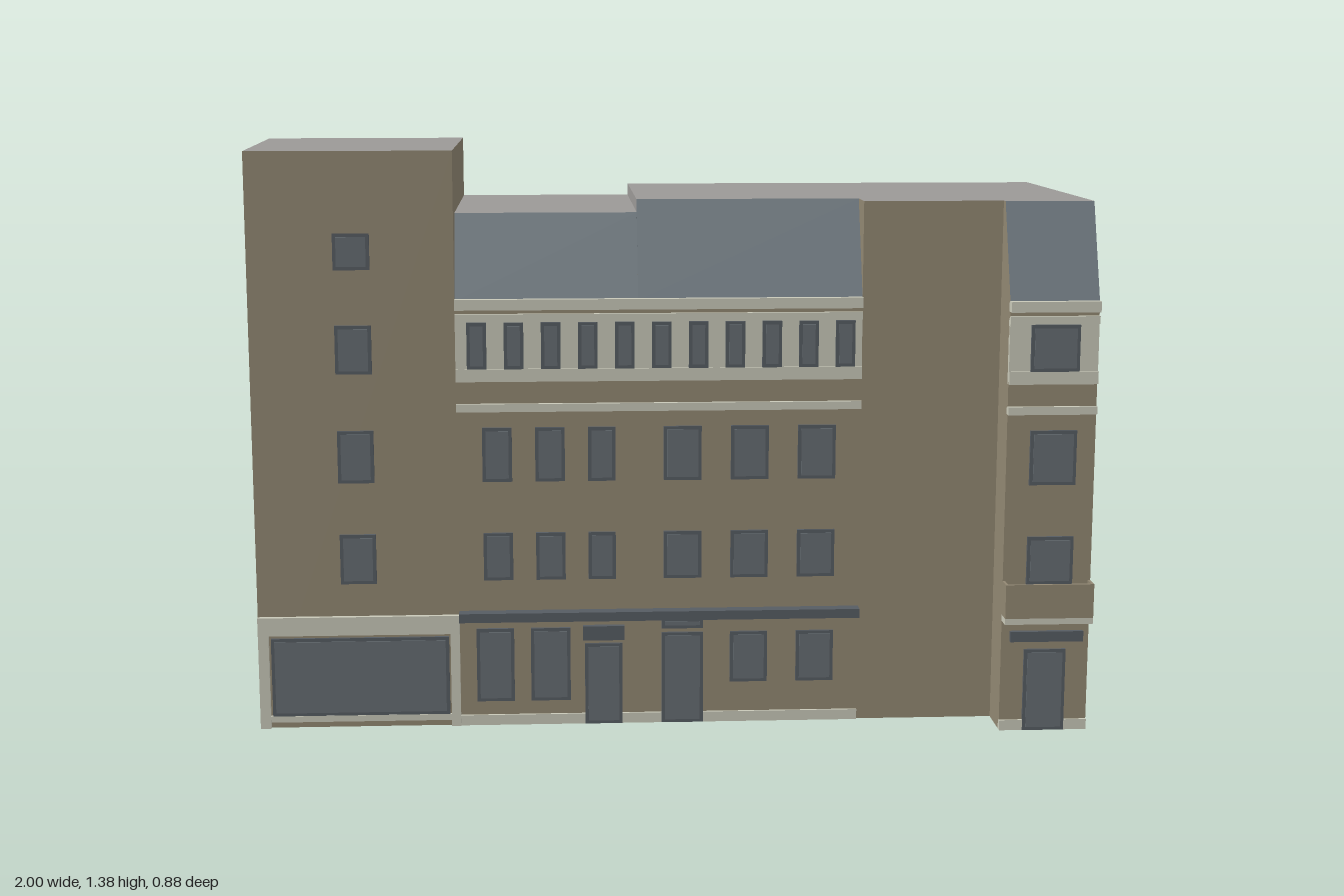
import * as THREE from 'three';

const mat = (name, color, side = THREE.FrontSide) => {
  const m = new THREE.MeshStandardMaterial({ color, side });
  m.name = name;
  return m;
};

export function createModel() {
  const group = new THREE.Group();
  const brick = mat('brick', 0x918772, THREE.DoubleSide);
  const slate = mat('slate', 0x717b82, THREE.DoubleSide);
  const roof = mat('roofGrey', 0x9b9997, THREE.DoubleSide);
  const trim = mat('creamTrim', 0xc8c8b8);
  const glass = mat('glass', 0x656c71);
  const frame = mat('darkFrame', 0x565c62);

  // Flat convex panel from its corner points
  function panel(name, material, ...pts) {
    const g = new THREE.BufferGeometry();
    const v = [];
    for (let i = 1; i < pts.length - 1; i++) v.push(...pts[0], ...pts[i], ...pts[i + 1]);
    g.setAttribute('position', new THREE.Float32BufferAttribute(v, 3));
    g.computeVertexNormals();
    const m = new THREE.Mesh(g, material);
    m.name = name;
    group.add(m);
  }
  // Panel facing sideways, given as [z, y] corners
  const side = (name, material, x, ...zy) => panel(name, material, ...zy.map(([z, y]) => [x, y, z]));
  // Upright wall between two plan points [x, z]
  const wall = (name, [xa, za], [xb, zb], y0, y1) =>
    panel(name, brick, [xa, y0, za], [xb, y0, zb], [xb, y1, zb], [xa, y1, za]);
  // Box given by its limits
  function box(name, material, x0, x1, y0, y1, z0, z1) {
    const m = new THREE.Mesh(new THREE.BoxGeometry(x1 - x0, y1 - y0, z1 - z0), material);
    m.name = name;
    m.position.set((x0 + x1) / 2, (y0 + y1) / 2, (z0 + z1) / 2);
    group.add(m);
  }

  const F = 0.295, E = 0.4, B = -0.44, EAVE = 1.03, LOW = 1.23, TOP = 1.26, TALL = 1.38;

  // Stair tower
  wall('towerFront', [-0.98, F], [-0.5, F], 0, TALL);
  wall('towerLeftWall', [-1, -0.36], [-0.98, F], 0, TALL);
  wall('towerBack', [-0.5, -0.375], [-1, -0.36], 0, TALL);
  wall('towerInnerWall', [-0.5, F], [-0.5, -0.375], EAVE, TALL);
  panel('towerRoof', roof, [-0.98, TALL, F], [-0.5, TALL, F], [-0.5, TALL, -0.375], [-1, TALL, -0.36]);

  // Main block walls
  wall('mainFront', [-0.5, F], [0.46, F], 0, EAVE);
  wall('tallBayFront', [0.46, F], [0.79, F], 0, TOP);
  wall('endBayFront', [0.79, E], [1, E], 0, EAVE);
  side('endBayReturn', brick, 0.79, [F, 0], [E, 0], [E, EAVE], [0.315, TOP], [F, TOP]);
  panel('gableWall', brick, [1, 0, E], [0.99, 0, B], [0.99, EAVE, B], [0.99, TOP, -0.36], [1, TOP, 0.315], [1, EAVE, E]);
  wall('rearWall', [0.99, B], [-0.17, B], 0, EAVE);
  side('rearReturn', brick, -0.17, [B, 0], [-0.385, 0], [-0.385, LOW], [B, EAVE]);
  wall('rearLinkWall', [-0.17, -0.385], [-0.5, -0.375], 0, LOW);
  side('tallBayCheek', brick, 0.46, [F, EAVE], [0.205, TOP], [F, TOP]);

  // Slate slopes; the rear one stops short, leaving the loft open
  panel('frontSlopeLow', slate, [-0.5, EAVE, F], [-0.07, EAVE, F], [-0.07, LOW, 0.215], [-0.5, LOW, 0.215]);
  panel('frontSlope', slate, [-0.07, EAVE, F], [0.46, EAVE, F], [0.46, TOP, 0.205], [-0.07, TOP, 0.205]);
  panel('endBaySlope', slate, [0.79, EAVE, E], [1, EAVE, E], [1, TOP, 0.315], [0.79, TOP, 0.315]);
  panel('rearSlope', slate, [0.46, EAVE, B], [-0.07, EAVE, B], [-0.07, TOP, -0.36], [0.46, TOP, -0.36]);
  panel('rearSlopeLow', slate, [-0.07, EAVE, B], [-0.17, EAVE, B], [-0.17, LOW, -0.38], [-0.07, LOW, -0.375]);

  // Flat roofs and the step between them
  panel('lowRoof', roof, [-0.5, LOW, 0.215], [-0.07, LOW, 0.215], [-0.07, LOW, -0.38], [-0.17, LOW, -0.385], [-0.5, LOW, -0.375]);
  side('roofStep', roof, -0.07, [-0.375, LOW], [0.215, LOW], [0.205, TOP], [-0.36, TOP]);
  panel('highRoof', roof, [-0.07, TOP, 0.205], [0.46, TOP, 0.205], [0.99, TOP, -0.36], [-0.07, TOP, -0.36]);
  panel('highRoofEnd', roof, [0.46, TOP, 0.205], [0.46, TOP, F], [0.79, TOP, F], [1, TOP, 0.315], [0.99, TOP, -0.36]);
  panel('endBayRoof', roof, [0.79, TOP, F], [0.79, TOP, 0.315], [1, TOP, 0.315]);

  // Ground floor slabs
  panel('towerFloor', brick, [-1, 0, -0.36], [-0.17, 0, -0.385], [-0.17, 0, F], [-0.98, 0, F]);
  panel('mainFloor', brick, [-0.17, 0, B], [0.99, 0, B], [0.995, 0, F], [-0.17, 0, F]);
  panel('endBayFloor', brick, [0.79, 0, F], [0.995, 0, F], [1, 0, E], [0.79, 0, E]);

  // Framed window or door: dark casing with a pane on it
  function opening(name, x0, x1, y0, y1, z = F) {
    const t = 0.008;
    box(name + 'Frame', frame, x0, x1, y0, y1, z - 0.005, z + 0.007);
    box(name + 'Pane', glass, x0 + t, x1 - t, y0 + t, y1 - t, z, z + 0.01);
  }

  // Tower windows
  for (const [y0, y1] of [[0.355, 0.475], [0.6, 0.725], [0.86, 0.975], [1.105, 1.19]])
    opening('towerWindow', -0.78, -0.695, y0, y1);

  // Two middle floors of windows
  for (const [y0, y1] of [[0.36, 0.475], [0.6, 0.73]]) {
    for (const [x0, x1] of [[-0.44, -0.37], [-0.315, -0.245], [-0.19, -0.125], [-0.01, 0.08], [0.15, 0.24], [0.31, 0.4]])
      opening('window', x0, x1, y0, y1);
    opening('endBayWindow', 0.845, 0.955, y0, y1, E);
  }

  // Top floor gallery, with cream bands on both facades
  for (const [x0, x1, z] of [[-0.5, 0.46, F], [0.79, 1, E]]) {
    box('galleryPanel', trim, x0, x1, 0.865, 0.985, z - 0.01, z + 0.003);
    box('gallerySill', trim, x0, x1, 0.84, 0.87, z - 0.01, z + 0.01);
    box('galleryHead', trim, x0, x1, 0.982, 1.0, z - 0.01, z + 0.01);
    box('cornice', trim, x0, x1, 1.01, 1.035, z - 0.01, z + 0.017);
    box('stringCourse', trim, x0, x1, 0.768, 0.787, z - 0.01, z + 0.01);
    box('plinth', trim, x0, x1, 0, 0.025, z - 0.01, z + 0.006);
  }
  for (let i = 0; i < 11; i++) {
    const x = -0.45 + i * 0.087;
    opening('galleryWindow', x - 0.023, x + 0.023, 0.87, 0.98, F + 0.003);
  }
  opening('endBayTopWindow', 0.84, 0.955, 0.87, 0.98, E + 0.003);

  // Shopfront at the tower foot
  box('shopFascia', trim, -0.98, -0.5, 0.23, 0.275, F - 0.01, F + 0.012);
  box('shopPierLeft', trim, -0.98, -0.955, 0, 0.23, F - 0.01, F + 0.01);
  box('shopPierRight', trim, -0.522, -0.5, 0, 0.23, F - 0.01, F + 0.01);
  box('shopSill', trim, -0.955, -0.522, 0.015, 0.03, F - 0.01, F + 0.008);
  opening('shopWindow', -0.95, -0.526, 0.03, 0.222);

  // Street level windows, doors and awning
  opening('streetWindow', -0.46, -0.37, 0.06, 0.24);
  opening('streetWindow', -0.33, -0.235, 0.06, 0.24);
  opening('streetWindow', 0.15, 0.24, 0.1, 0.225);
  opening('streetWindow', 0.31, 0.4, 0.1, 0.225);
  opening('door', -0.2, -0.11, 0, 0.2);
  box('doorCanopy', frame, -0.205, -0.105, 0.21, 0.245, F - 0.005, F + 0.015);
  opening('door', -0.015, 0.085, 0, 0.225);
  opening('transom', -0.015, 0.085, 0.235, 0.26);
  box('awning', frame, -0.5, 0.46, 0.262, 0.284, F - 0.01, F + 0.032);

  // End bay entrance and balcony
  opening('endBayDoor', 0.845, 0.945, 0, 0.2, E);
  box('endBayCanopy', frame, 0.81, 0.985, 0.22, 0.245, E - 0.005, E + 0.012);
  box('balconyFloor', trim, 0.79, 1, 0.27, 0.285, E - 0.005, E + 0.038);
  box('balconyFront', brick, 0.79, 1, 0.285, 0.367, E + 0.033, E + 0.04);
  for (const x of [0.79, 0.994]) box('balconySide', brick, x, x + 0.006, 0.285, 0.367, E, E + 0.035);

  return group;
}
